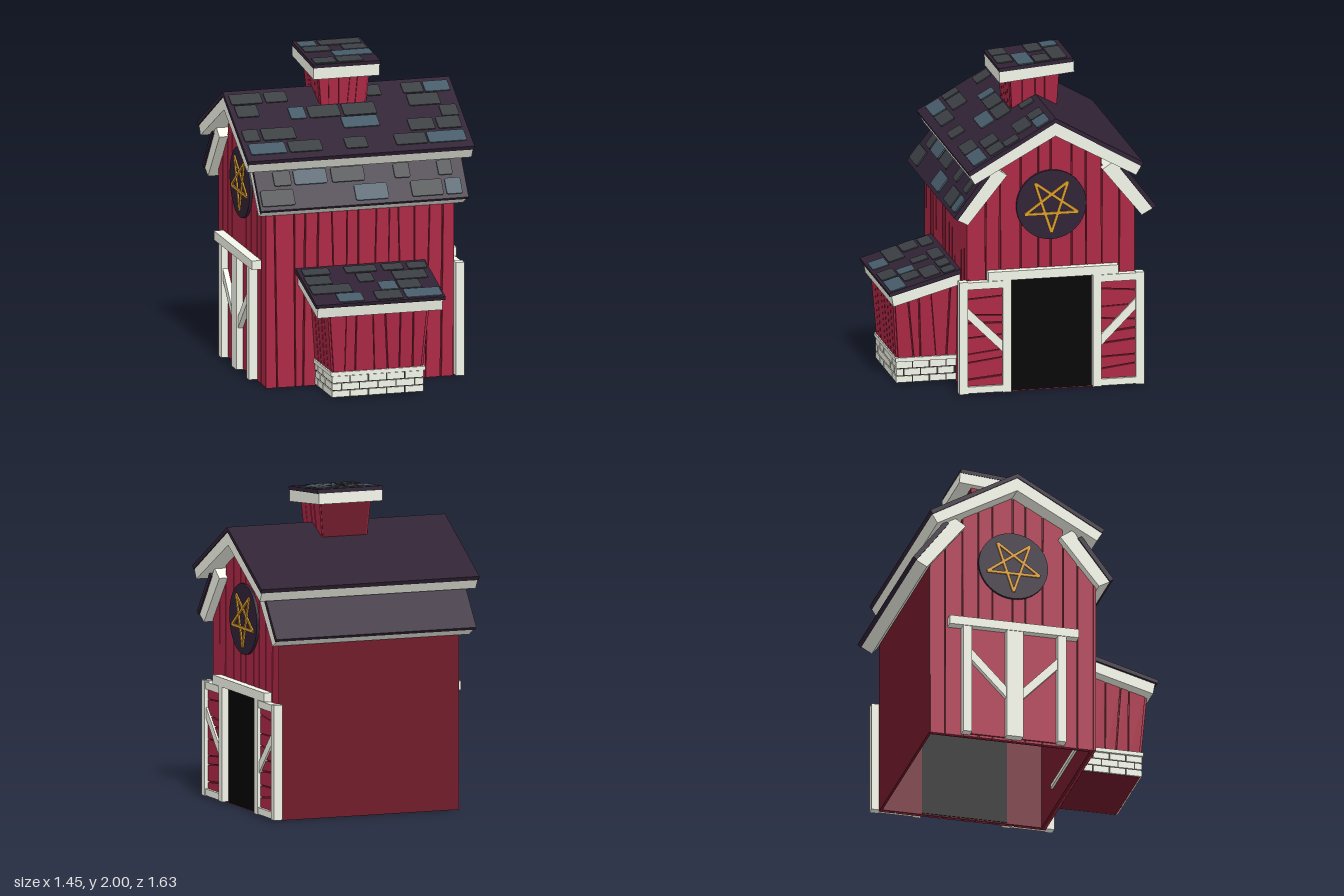
import * as THREE from 'three';

const mat = color => new THREE.MeshStandardMaterial({ color, flatShading: true });
const M = {
  red: mat(0xac2845), groove: mat(0x701a2a), white: mat(0xf2f5e8), roof: mat(0x302234),
  black: mat(0x020202), gold: mat(0xdc9c2c), slate: mat(0x3a3e42), blue: mat(0x465a68), mortar: mat(0x302a2c),
};
const ZC = -0.165; // middle of the gable

// small repeatable wobble in -1..1
let seed = 7;
const wobble = () => ((seed = (seed * 16807) % 2147483647) / 2147483647) * 2 - 1;

function add(parent, name, geo, material) {
  const m = new THREE.Mesh(geo, material);
  m.name = name;
  parent.add(m);
  return m;
}

function box(parent, name, material, x0, x1, y0, y1, z0, z1) {
  const m = add(parent, name, new THREE.BoxGeometry(x1 - x0, y1 - y0, z1 - z0), material);
  m.position.set((x0 + x1) / 2, (y0 + y1) / 2, (z0 + z1) / 2);
}

// [z, y] outline extruded along x
function extrudeX(parent, name, material, outline, x0, x1) {
  const shape = new THREE.Shape(outline.map(([z, y]) => new THREE.Vector2(z, y)));
  const geo = new THREE.ExtrudeGeometry(shape, { depth: x1 - x0, bevelEnabled: false });
  geo.rotateY(-Math.PI / 2).translate(x1, 0, 0);
  add(parent, name, geo, material);
}

// straight bar between two [z, y] points
function bar(parent, name, material, [z0, y0], [z1, y1], w, x0, x1) {
  const l = Math.hypot(z1 - z0, y1 - y0), nz = -(y1 - y0) / l * w / 2, ny = (z1 - z0) / l * w / 2;
  extrudeX(parent, name, material,
    [[z0 + nz, y0 + ny], [z1 + nz, y1 + ny], [z1 - nz, y1 - ny], [z0 - nz, y0 - ny]], x0, x1);
}

// box whose unit coordinates are remapped by fn(u, v, w) -> [x, y, z]
function warpedBox(parent, name, material, fn) {
  const geo = new THREE.BoxGeometry(1, 1, 1), p = geo.attributes.position;
  for (let i = 0; i < p.count; i++) p.setXYZ(i, ...fn(p.getX(i) + 0.5, p.getY(i) + 0.5, p.getZ(i) + 0.5));
  geo.computeVertexNormals();
  add(parent, name, geo, material);
}

// boards covering a quad (bottom a-b, top c-d, seen from outside), raised along n
function boards(parent, name, a, b, c, d, n, count, raise = 0.012, across = false) {
  const cuts = [0];
  for (let i = 1; i < count; i++) cuts.push((i + wobble() * 0.22) / count);
  cuts.push(1);
  const lean = cuts.map((_, i) => (i === 0 || i === count ? 0 : wobble() * 0.2 / count));
  for (let i = 0; i < count; i++) {
    const gap = 0.08 / count * (1 + 0.5 * wobble());
    warpedBox(parent, name, M.red, (u, v, w) => {
      const [s, t] = across ? [v, u] : [u, v];
      const e = s < 0.5 ? cuts[i] + lean[i] * (2 * t - 1) : cuts[i + 1] + lean[i + 1] * (2 * t - 1) - gap;
      const [U, V] = across ? [t, e] : [e, t];
      return [0, 1, 2].map(k => (a[k] * (1 - U) + b[k] * U) * (1 - V) + (c[k] * (1 - U) + d[k] * U) * V + n[k] * (w * raise - 0.001));
    });
  }
}

// slates on a slope from p=[z,y] to q=[z,y]; rows of [z0, z1, [x0, x1, isBlue], ...]
function slates(parent, p, q, rows) {
  const k = (q[1] - p[1]) / (q[0] - p[0]), a = -Math.atan(k);
  for (const [z0, z1, ...tiles] of rows) for (const [x0, x1, blue] of tiles) {
    const z = (z0 + z1) / 2, w = (x1 - x0) / 2, h = (z1 - z0) / Math.cos(a) / 2, c = 0.008;
    // clipped corners
    const shape = new THREE.Shape([[-w + c, -h], [w - c, -h], [w, -h + c], [w, h - c], [w - c, h], [c - w, h], [-w, h - c], [-w, c - h]]
      .map(v => new THREE.Vector2(...v)));
    const geo = new THREE.ExtrudeGeometry(shape, { depth: 0.012, bevelEnabled: false });
    geo.rotateX(-Math.PI / 2);
    const m = add(parent, 'slate', geo, blue ? M.blue : M.slate);
    m.position.set((x0 + x1) / 2, p[1] + k * (z - p[0]) - 0.006, z);
    m.rotation.x = a;
  }
}

// hollow shell, open underneath, faced with boards
function walls(g) {
  const half = [[0.52, 0.005], [0.52, 1.13], [0.32, 1.42], [0.32, 1.51], [0, 1.7]];
  const outline = [...half.map(([t, y]) => [ZC + t, y]), ...half.slice(0, 4).reverse().map(([t, y]) => [ZC - t, y])];
  for (const s of [1, -1]) extrudeX(g, 'gableWall', M.groove, outline, s > 0 ? 0.57 : -0.588, s > 0 ? 0.588 : -0.57);
  box(g, 'backWall', M.groove, -0.597, 0.597, 0.005, 1.13, ZC - 0.53, ZC - 0.515);
  box(g, 'frontWall', M.groove, -0.59, 0.59, 0.005, 1.13, 0.33, 0.348);
  boards(g, 'frontBoard', [-0.605, 0.003, 0.347], [0.6, 0.003, 0.347], [-0.605, 1.14, 0.347], [0.6, 1.14, 0.347], [0, 0, 1], 14, 0.016);
  // gable boards, cut to the roof line
  const top = (t, mid) => Math.abs(mid) < 0.32 ? 1.7 - 0.594 * Math.abs(t) : 1.13 + (0.53 - Math.abs(t)) * 1.38;
  const cuts = [-0.527, -0.43, -0.32, -0.22, -0.13, 0, 0.08, 0.19, 0.32, 0.41, 0.525];
  for (const s of [1, -1]) for (let i = 0; i < cuts.length - 1; i++) {
    const a = cuts[i] + 0.004, b = cuts[i + 1] - 0.004, mid = (a + b) / 2, j = 0.004 * wobble();
    extrudeX(g, 'gableBoard', M.red, [[ZC + a + j, 0.005], [ZC + b + j, 0.005], [ZC + b, top(b, mid)], [ZC + a, top(a, mid)]],
      s > 0 ? 0.58 : -0.6, s > 0 ? 0.6 : -0.58);
  }
}

function mainRoof(g) {
  const upperZ = -0.168, lowerZ = -0.178;
  for (const s of [1, -1]) {
    const slab = (name, m, zc, pts, x) => extrudeX(g, name, m, pts.map(([t, y]) => [zc + s * t, y]), -x, x);
    slab('upperRoof', M.roof, upperZ, [[0, 1.763], [0.553, 1.45], [0.54, 1.425], [0, 1.735]], 0.725);
    slab('upperRoofTrim', M.white, upperZ, [[0, 1.735], [0.54, 1.425], [0.507, 1.37], [0, 1.65]], 0.718);
    slab('lowerRoof', M.roof, lowerZ, [[0.637, 1.15], [0.435, 1.415], [0.41, 1.4], [0.614, 1.132]], 0.665);
    slab('lowerRoofTrim', M.white, lowerZ, [[0.614, 1.132], [0.547, 1.095], [0.3, 1.4], [0.38, 1.455]], 0.655);
  }
  slates(g, [upperZ, 1.763], [upperZ + 0.553, 1.45], [
    [-0.14, -0.06, [-0.7, -0.5], [-0.48, -0.34], [0.17, 0.26], [0.4, 0.53], [0.54, 0.7, 1]],
    [-0.05, 0.04, [-0.69, -0.55], [0.41, 0.61]],
    [-0.01, 0.08, [-0.36, -0.26, 1], [-0.24, -0.04], [-0.02, 0.19]],
    [0.05, 0.135, [0.59, 0.7]],
    [0.09, 0.175, [-0.05, 0.18, 1]],
    [0.14, 0.23, [-0.7, -0.6], [-0.58, -0.37], [0.36, 0.52], [0.54, 0.69]],
    [0.25, 0.335, [-0.69, -0.46, 1], [-0.44, -0.23], [-0.08, 0.06], [0.24, 0.44], [0.45, 0.69, 1]],
  ]);
  slates(g, [lowerZ + 0.435, 1.415], [lowerZ + 0.637, 1.15], [
    [0.3, 0.36, [-0.55, -0.44], [-0.42, -0.21, 1], [-0.18, 0.03], [0.22, 0.32], [0.5, 0.59]],
    [0.375, 0.44, [-0.65, -0.44], [-0.05, 0.16, 1], [0.31, 0.51], [0.53, 0.63, 1]],
  ]);
}

function cupola(g) {
  const hx = v => 0.135 + 0.028 * v, zb = v => -0.3 - 0.015 * v, zf = v => -0.025 + 0.02 * v, y0 = 1.6, y1 = 1.9;
  warpedBox(g, 'cupolaBody', M.groove, (u, v, w) => [(u * 2 - 1) * hx(v), y0 + v * (y1 - y0), zb(v) + (zf(v) - zb(v)) * w]);
  const at = (x, z, v) => [x * hx(v), v ? y1 : y0, z > 0 ? zf(v) : zb(v)];
  boards(g, 'cupolaBoard', at(-1, 1, 0), at(1, 1, 0), at(-1, 1, 1), at(1, 1, 1), [0, 0, 1], 5, 0.008);
  for (const s of [1, -1])
    boards(g, 'cupolaBoard', at(s, s, 0), at(s, -s, 0), at(s, s, 1), at(s, -s, 1), [s, 0, 0], 4, 0.008);
  extrudeX(g, 'cupolaTrim', M.white, [[0.07, 1.86], [0.073, 1.932], [-0.397, 1.972], [-0.4, 1.905]], -0.214, 0.209);
  extrudeX(g, 'cupolaRoof', M.roof, [[0.073, 1.932], [0.077, 1.955], [-0.39, 1.997], [-0.392, 1.97]], -0.217, 0.213);
  slates(g, [0.077, 1.955], [-0.39, 1.997], [
    [-0.36, -0.265, [-0.2, -0.09, 1], [-0.07, 0.195]],
    [-0.255, -0.16, [-0.2, -0.03], [0.05, 0.2]],
    [-0.15, -0.05, [-0.04, 0.205, 1]],
    [-0.04, 0.06, [-0.2, -0.06], [-0.05, 0.11]],
  ]);
}

function leanTo(g) {
  const hx = v => 0.28 + 0.035 * v, zf = v => 0.725 + 0.03 * v, topY = z => 0.61 - (z - 0.6) * 0.28;
  const at = (s, front, v) => { const z = front ? zf(v) : 0.345; return [s * hx(v), v ? topY(z) : 0.15, z]; };
  warpedBox(g, 'leanToBody', M.groove, (u, v, w) => { const p = at(1, w > 0.5, v); return [p[0] * (u * 2 - 1), p[1], p[2]]; });
  boards(g, 'leanToBoard', at(-1, 1, 0), at(1, 1, 0), at(-1, 1, 1), at(1, 1, 1), [0, 0, 1], 7);
  boards(g, 'leanToBoard', at(1, 1, 0), at(1, 0, 0), at(1, 1, 1), at(1, 0, 1), [1, 0, 0], 5);
  boards(g, 'leanToBoard', at(-1, 0, 0), at(-1, 1, 0), at(-1, 0, 1), at(-1, 1, 1), [-1, 0, 0], 5);
  extrudeX(g, 'leanToTrim', M.white, [[0.78, 0.53], [0.793, 0.598], [0.36, 0.718], [0.36, 0.648]], -0.4, 0.4);
  extrudeX(g, 'leanToRoof', M.roof, [[0.805, 0.597], [0.812, 0.62], [0.36, 0.75], [0.36, 0.718]], -0.415, 0.412);
  slates(g, [0.812, 0.62], [0.36, 0.75], [
    [0.385, 0.46, [-0.39, -0.22], [-0.12, 0.08], [0.12, 0.25], [0.28, 0.4]],
    [0.475, 0.575, [-0.4, -0.24], [-0.07, 0.03], [0.16, 0.37]],
    [0.585, 0.685, [-0.4, -0.14], [0.04, 0.15, 1], [0.16, 0.3]],
    [0.695, 0.795, [-0.26, -0.1, 1], [-0.02, 0.15], [0.17, 0.4, 1]],
  ]);
  // brick footing, its cap running through the barn wall
  box(g, 'footing', M.mortar, -0.285, 0.285, 0.015, 0.15, 0.345, 0.73);
  box(g, 'footingFloor', M.groove, -0.284, 0.284, 0.011, 0.016, 0.345, 0.729);
  box(g, 'footingCap', M.white, -0.302, 0.302, 0.147, 0.172, 0.315, 0.745);
  for (let r = 0; r < 3; r++) {
    const y = 0.013 + r * 0.046, off = r % 2 ? 0.055 : 0;
    for (let x = -0.292 - off; x < 0.28; x += 0.117)
      box(g, 'brick', M.white, Math.max(x, -0.292), Math.min(x + 0.11, 0.292), y, y + 0.039, 0.7, 0.738);
    for (const s of [-1, 1]) for (let z = 0.737 + off; z > 0.38; z -= 0.105)
      box(g, 'brick', M.white, s > 0 ? 0.26 : -0.292, s > 0 ? 0.292 : -0.26, y, y + 0.039, Math.max(z - 0.097, 0.345), Math.min(z, 0.737));
  }
}

function doors(g) {
  // open doorway with its doors swung aside
  box(g, 'doorway', M.black, 0.565, 0.607, 0.012, 0.735, -0.43, 0.11);
  box(g, 'doorBeam', M.white, 0.595, 0.65, 0.728, 0.785, -0.58, 0.24);
  for (const [out, inn] of [[0.42, 0.095], [-0.742, -0.42]]) {
    const d = Math.sign(inn - out), lo = Math.min(out, inn), hi = Math.max(out, inn);
    box(g, 'doorPanel', M.groove, 0.6, 0.618, 0.03, 0.71, lo + 0.02, hi - 0.02);
    boards(g, 'doorPlank', [0.617, 0.05, hi - 0.03], [0.617, 0.05, lo + 0.03], [0.617, 0.69, hi - 0.03], [0.617, 0.69, lo + 0.03], [1, 0, 0], 8, 0.012, true);
    for (const z of [out, inn - d * 0.052]) {
      const e = z + d * 0.052;
      box(g, 'doorPost', M.white, 0.595, 0.65, 0.015, 0.73, Math.min(z, e), Math.max(z, e));
    }
    box(g, 'doorRail', M.white, 0.598, 0.646, 0.68, 0.725, lo + 0.01, hi - 0.01);
    box(g, 'doorRail', M.white, 0.598, 0.646, 0.018, 0.06, lo + 0.01, hi - 0.01);
    bar(g, 'doorBrace', M.white, [out + d * 0.03, 0.55], [inn - d * 0.03, 0.285], 0.05, 0.605, 0.64);
  }
  // closed pair on the other end
  box(g, 'doorBeam', M.white, -0.66, -0.595, 0.728, 0.785, -0.58, 0.24);
  box(g, 'doorPanel', M.red, -0.612, -0.595, 0.02, 0.73, -0.48, 0.15);
  for (const [z, w] of [[-0.465, 0.055], [ZC, 0.105], [0.135, 0.055]])
    box(g, 'doorPost', M.white, -0.655, -0.595, 0.015, 0.73, z - w / 2, z + w / 2);
  for (const s of [1, -1])
    bar(g, 'doorBrace', M.white, [ZC + s * 0.29, 0.56], [ZC + s * 0.03, 0.29], 0.05, -0.645, -0.605);
}

function emblems(g) {
  for (const s of [1, -1]) {
    const disc = add(g, 'gableDisc', new THREE.CylinderGeometry(0.22, 0.22, 0.03, 40), M.roof);
    disc.rotation.z = Math.PI / 2;
    disc.position.set(s * 0.602, 1.185, ZC);
    const pt = i => { const a = -Math.PI / 2 + i * Math.PI * 0.4; return [ZC + 0.176 * Math.cos(a), 1.185 + 0.176 * Math.sin(a)]; };
    for (let i = 0; i < 5; i++)
      bar(g, 'starBar', M.gold, pt(i), pt(i + 2), 0.017, s > 0 ? 0.612 : -0.626, s > 0 ? 0.626 : -0.612);
  }
}

export function createModel() {
  const root = new THREE.Group();
  root.name = 'barn';
  for (const [name, build] of Object.entries({ walls, mainRoof, cupola, leanTo, doors, emblems })) {
    const g = new THREE.Group();
    g.name = name;
    build(g);
    root.add(g);
  }
  return root;
}
